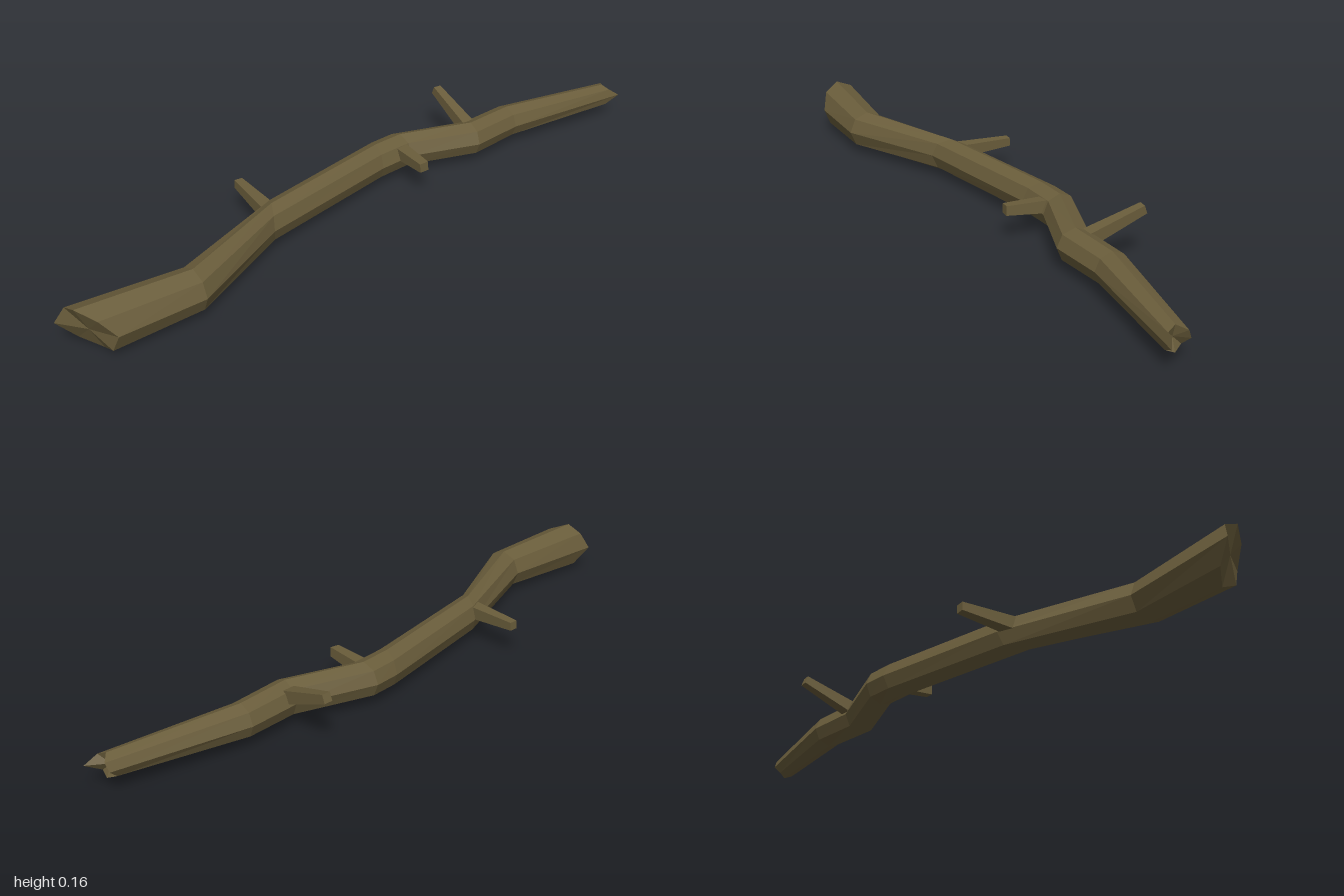
import * as THREE from 'three';

const SIDES = 8;
const MID_Y = 0.074;
const bark = new THREE.MeshStandardMaterial({ color: 0x6a5d3b, flatShading: true, roughness: 0.9 });

// Stations along the branch, front to back: centre x, z, radius, z tilt at the +x side
const STATIONS = [
  [0.165, 0.95, 0.0715, 0],
  [0.165, 0.645, 0.06, -0.005],
  [0.006, 0.315, 0.0545, 0.025],
  [-0.095, -0.11, 0.0535, 0.012],
  [-0.105, -0.205, 0.0525, -0.005],
  [-0.04, -0.425, 0.0515, 0.005],
  [-0.06, -0.585, 0.049, 0],
  [-0.017, -0.96, 0.035, 0],
];
// Broken ends: z of each corner, counter-clockwise from the +x side
const FRONT_Z = [0.89, 0.93, 0.968, 0.972, 0.995, 0.945, 0.9, 0.9];
const BACK_Z = [-1.0, -0.965, -0.955, -0.975, -0.97, -0.945, -0.96, -0.955];

function ring([x, z, r, tilt], ends) {
  return Array.from({ length: SIDES }, (_, i) => {
    const a = (i / SIDES) * Math.PI * 2;
    return new THREE.Vector3(x + r * Math.cos(a), MID_Y + r * Math.sin(a),
      ends ? ends[i] : z + tilt * Math.cos(a));
  });
}

// Skin between matching rings, closed by a fan at each end
function loft(rings, firstCentre, lastCentre) {
  const pos = [];
  const tri = (...corners) => corners.forEach((p) => pos.push(p.x, p.y, p.z));
  const n = rings[0].length;
  for (let i = 0; i < n; i++) {
    const j = (i + 1) % n;
    for (let k = 0; k < rings.length - 1; k++) {
      const a = rings[k], b = rings[k + 1];
      tri(a[i], b[i], b[j]);
      tri(a[i], b[j], a[j]);
    }
    const last = rings[rings.length - 1];
    tri(firstCentre, rings[0][i], rings[0][j]);
    tri(lastCentre, last[j], last[i]);
  }
  const geo = new THREE.BufferGeometry();
  geo.setAttribute('position', new THREE.Float32BufferAttribute(pos, 3));
  geo.computeVertexNormals();
  return geo;
}

// Square tapering twig from base to tip
function twig(name, base, tip, baseWidth, tipWidth) {
  const a = new THREE.Vector3(...base), b = new THREE.Vector3(...tip);
  const dir = b.clone().sub(a);
  const geo = new THREE.CylinderGeometry(tipWidth / Math.SQRT2, baseWidth / Math.SQRT2, dir.length(), 4);
  geo.rotateY(Math.PI / 4);
  const mesh = new THREE.Mesh(geo, bark);
  mesh.name = name;
  mesh.position.copy(a).add(b).multiplyScalar(0.5);
  mesh.quaternion.setFromUnitVectors(new THREE.Vector3(0, 1, 0), dir.normalize());
  return mesh;
}

export function createModel() {
  const group = new THREE.Group();
  group.name = 'branch';

  // Main crooked stem with splintered ends
  const last = STATIONS.length - 1;
  const rings = STATIONS.map((s, k) => ring(s, k === 0 ? FRONT_Z : k === last ? BACK_Z : null));
  const stem = new THREE.Mesh(
    loft(rings, new THREE.Vector3(0.165, MID_Y, 0.935), new THREE.Vector3(-0.017, MID_Y, -0.945)), bark);
  stem.name = 'stem';
  group.add(stem);

  // Side twigs
  group.add(twig('frontTwig', [-0.01, 0.09, 0.315], [-0.185, 0.097, 0.31], 0.04, 0.025));
  group.add(twig('middleTwig', [-0.1, 0.09, -0.185], [0.05, 0.095, -0.178], 0.04, 0.028));
  group.add(twig('backTwig', [-0.05, 0.088, -0.435], [-0.233, 0.154, -0.441], 0.04, 0.025));
  return group;
}
